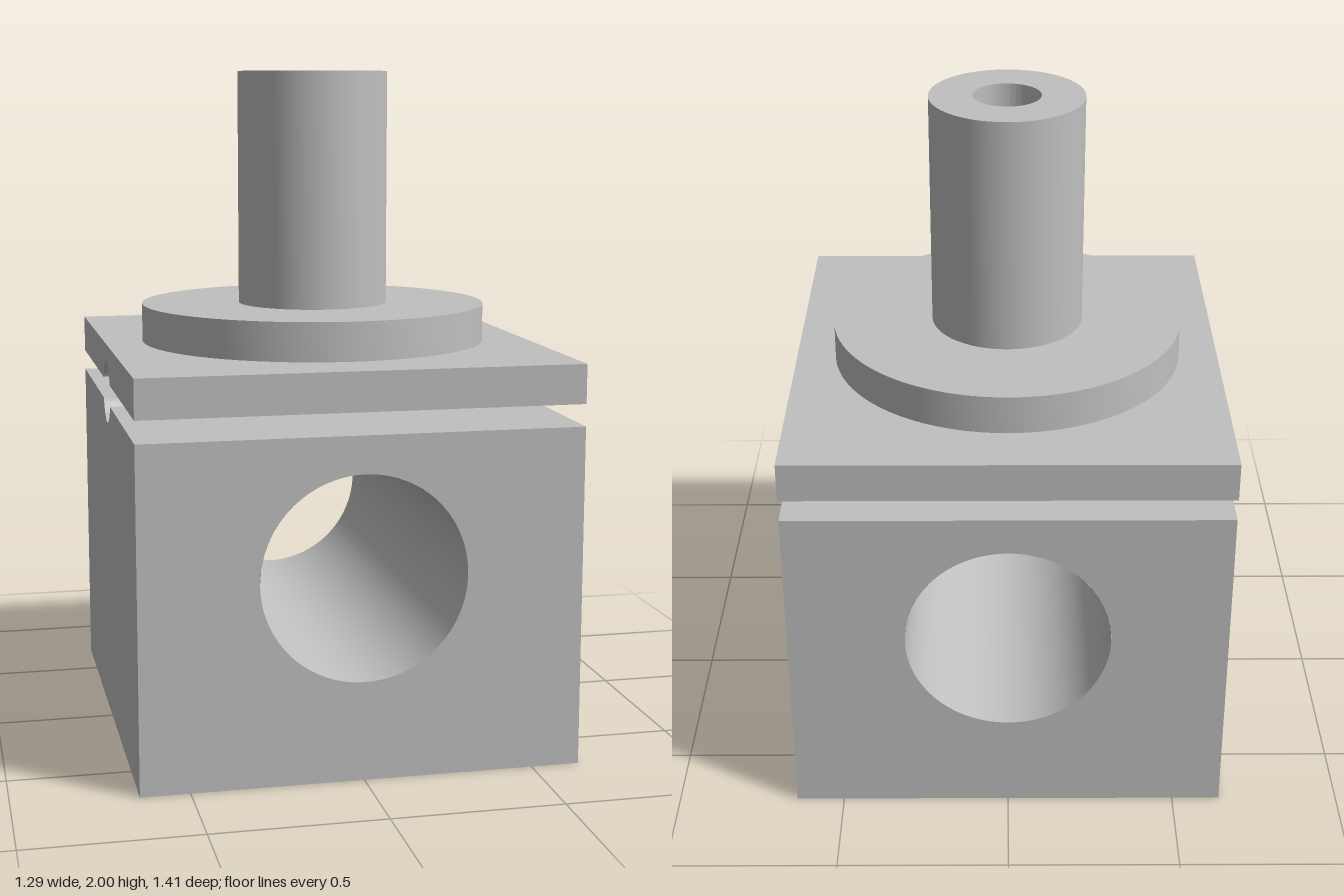
import * as THREE from 'three';
import { mergeGeometries, toCreasedNormals } from 'three/addons/utils/BufferGeometryUtils.js';
import { ParametricGeometry } from 'three/addons/geometries/ParametricGeometry.js';

const W = 0.643, D = 0.706;              // half width and half depth of the blocks
const BORE = 0.1;                        // vertical bore radius
const TUNNEL = 0.3, TUNNEL_Y = 0.59;     // large hole from front to back
const GROOVE = 0.095, MID = 1.0325, GAP = 0.0325; // cross hole split by the gap
const HALF = Math.sqrt(GROOVE ** 2 - GAP ** 2);   // groove half width at the flat face
const EDGE = Math.asin(GAP / GROOVE);
const lerp = THREE.MathUtils.lerp;

const surface = (fn, nu, nv) =>
  new ParametricGeometry((u, v, p) => p.set(...fn(u, v)), nu, nv);

function rectangle(w, y0, y1, hole) {
  const shape = new THREE.Shape([[-w, y0], [w, y0], [w, y1], [-w, y1]].map(p => new THREE.Vector2(...p)));
  if (hole) shape.holes.push(new THREE.Path().absarc(0, hole.y, hole.r, 0, Math.PI * 2, true));
  return new THREE.ShapeGeometry(shape, 64);
}

// Height of the grooved face; s is -1 for the lower block, 1 for the upper plate
const groovedY = (z, s) =>
  MID + s * Math.max(GAP, Math.sqrt(Math.max(0, GROOVE ** 2 - z * z)));

// Flat strips, half-round channels and notched ends that both blocks share
function groovedFaces(s, outerY) {
  const parts = [];
  const flatY = MID + s * GAP;
  for (const side of [-1, 1]) {
    // flat strip with a small bite where the bore breaks through
    const a = Math.asin(HALF / BORE);
    const strip = new THREE.Shape();
    strip.moveTo(-W, D);
    strip.lineTo(-W, HALF);
    strip.absarc(0, 0, BORE, Math.PI - a, a, true);
    strip.lineTo(W, HALF);
    strip.lineTo(W, D);
    parts.push(new THREE.ShapeGeometry(strip, 24)
      .rotateX(s * Math.PI / 2).rotateY(side > 0 ? 0 : Math.PI).translate(0, flatY, 0));

    // channel from the bore to the side
    parts.push(surface((u, v) => {
      const t = lerp(EDGE, Math.PI - EDGE, u);
      const z = GROOVE * Math.cos(t);
      return [side * lerp(Math.sqrt(BORE ** 2 - z * z), W, v), MID + s * GROOVE * Math.sin(t), z];
    }, 32, 2));

    // notched end face
    const end = new THREE.Shape();
    end.moveTo(-D, outerY);
    end.lineTo(-D, flatY);
    end.absarc(0, MID, GROOVE, s * (Math.PI - EDGE), s * EDGE, s > 0);
    end.lineTo(D, flatY);
    end.lineTo(D, outerY);
    parts.push(new THREE.ShapeGeometry(end, 32).rotateY(side * Math.PI / 2).translate(side * W, 0, 0));
  }
  return parts;
}

// Bore wall between two height rules
const boreWall = (low, high) => surface((u, v) => {
  const t = u * Math.PI * 2, x = BORE * Math.cos(t), z = BORE * Math.sin(t);
  return [x, lerp(low(x, z), high(x, z), v), z];
}, 96, 2);

const tunnelPoint = (a, z) => [TUNNEL * Math.sin(a), TUNNEL_Y + TUNNEL * Math.cos(a), z];

function makeBlock() {
  const parts = groovedFaces(-1, 0);
  for (const turn of [0, Math.PI]) {
    parts.push(rectangle(W, 0, MID - GAP, { y: TUNNEL_Y, r: TUNNEL }).translate(0, 0, D).rotateY(turn));
  }
  parts.push(rectangle(W, -D, D).rotateX(Math.PI / 2));
  // tunnel floor
  parts.push(surface((u, v) => tunnelPoint(Math.PI * (0.5 + u), lerp(-D, D, v)), 64, 2));
  // tunnel roof, spreading from the bore opening to its straight edges
  parts.push(surface((u, v) => {
    const t = u * Math.PI * 2, c = Math.cos(t), s = Math.sin(t);
    const m = Math.max(Math.abs(c), Math.abs(s));
    return tunnelPoint(
      lerp(Math.asin(BORE * c / TUNNEL), c / m * Math.PI / 2, v),
      lerp(BORE * s, s / m * D, v));
  }, 128, 24));
  parts.push(boreWall(x => TUNNEL_Y + Math.sqrt(TUNNEL ** 2 - x * x), (x, z) => groovedY(z, -1)));
  return mergeGeometries(parts);
}

const PLATE_TOP = 1.18;

function makePlate() {
  const parts = groovedFaces(1, PLATE_TOP);
  for (const turn of [0, Math.PI]) {
    parts.push(rectangle(W, MID + GAP, PLATE_TOP).translate(0, 0, D).rotateY(turn));
  }
  parts.push(rectangle(W, -D, D, { y: 0, r: 0.527 }).rotateX(-Math.PI / 2).translate(0, PLATE_TOP, 0));
  parts.push(boreWall((x, z) => groovedY(z, 1), () => PLATE_TOP));
  return mergeGeometries(parts);
}

// Round flange and hollow stem in one profile
function makeStem() {
  const profile = [[0.527, PLATE_TOP], [0.527, 1.295], [0.228, 1.295], [0.228, 2], [BORE, 2], [BORE, PLATE_TOP]];
  return toCreasedNormals(
    new THREE.LatheGeometry(profile.map(p => new THREE.Vector2(...p)), 96), 0.6);
}

export function createModel() {
  const group = new THREE.Group();
  group.name = 'valveBlock';
  const metal = new THREE.MeshStandardMaterial({ color: 0xc0c0c0, side: THREE.DoubleSide });
  metal.name = 'plain grey';
  const parts = { lowerBlock: makeBlock(), upperPlate: makePlate(), flangedStem: makeStem() };
  for (const [name, geometry] of Object.entries(parts)) {
    const mesh = new THREE.Mesh(geometry, metal);
    mesh.name = name;
    group.add(mesh);
  }
  return group;
}
